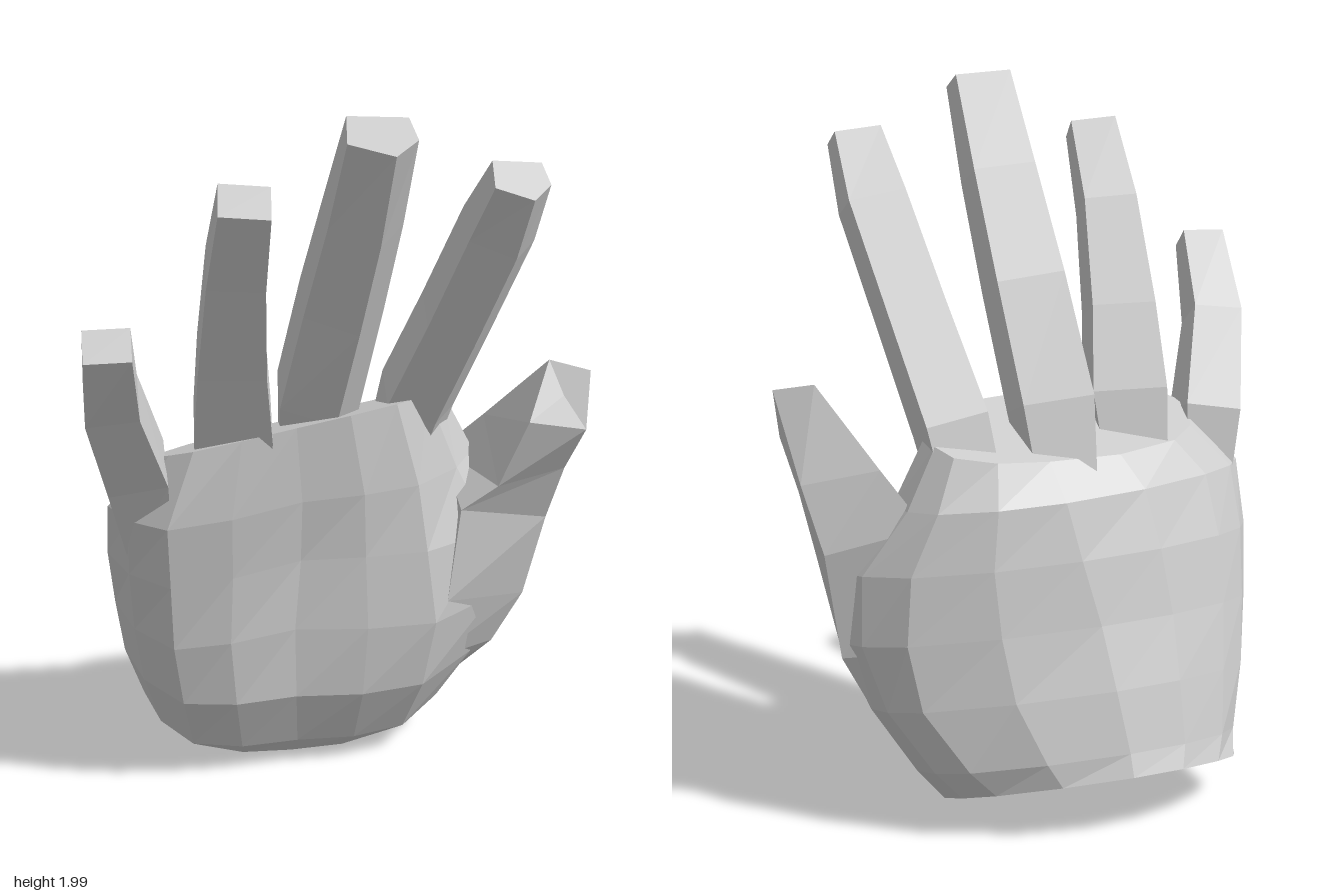
import * as THREE from 'three';

const material = new THREE.MeshStandardMaterial({ color: 0xcccccc, flatShading: true });

// Skin a closed, capped solid over rings of points (counterclockwise from above, bottom first)
function loft(name, rings) {
  const n = rings[0].length, pos = [];
  const tri = (...pts) => pts.forEach(p => pos.push(p.x, p.y, p.z));
  for (let i = 0; i < rings.length - 1; i++) {
    for (let j = 0; j < n; j++) {
      const k = (j + 1) % n;
      const a = rings[i][j], b = rings[i][k], c = rings[i + 1][k], d = rings[i + 1][j];
      tri(a, b, c);
      tri(a, c, d);
    }
  }
  const bottom = rings[0], top = rings[rings.length - 1];
  const mid = r => r.reduce((s, p) => s.add(p), new THREE.Vector3()).divideScalar(n);
  const cb = mid(bottom), ct = mid(top);
  for (let j = 0; j < n; j++) {
    const k = (j + 1) % n;
    tri(cb, bottom[k], bottom[j]);
    tri(ct, top[j], top[k]);
  }
  const geo = new THREE.BufferGeometry();
  geo.setAttribute('position', new THREE.Float32BufferAttribute(pos, 3));
  geo.computeVertexNormals();
  const mesh = new THREE.Mesh(geo, material);
  mesh.name = name;
  return mesh;
}

// Finger sections as side, front fractions: a box, and one with its front edge pulled to a ridge
const BOX = [[-0.5, 0.5], [0.5, 0.5], [0.5, -0.5], [-0.5, -0.5]];
const RIDGED = [[-0.5, 0.25], [0.15, 0.55], [0.5, 0.1], [0.42, -0.5], [-0.45, -0.5]];

// Finger; rows are [x, y, z, width, depth], twist turns it about its axis
function finger(name, section, twist, rows) {
  const c = rows.map(r => new THREE.Vector3(r[0], r[1], r[2]));
  const rings = rows.map(([, , , w, d], i) => {
    const t = c[Math.min(i + 1, c.length - 1)].clone().sub(c[Math.max(i - 1, 0)]).normalize();
    const side = new THREE.Vector3(1, 0, 0).addScaledVector(t, -t.x).normalize();
    const front = side.clone().cross(t);
    side.applyAxisAngle(t, -twist);
    front.applyAxisAngle(t, -twist);
    return section.map(([u, v]) =>
      c[i].clone().addScaledVector(side, u * w).addScaledVector(front, v * d));
  });
  return loft(name, rings);
}

// Palm sections: [height, slope along z, slope along x] and eight x, z pairs
// (little-finger edge, front x3, thumb edge, back x3)
const palmSections = [
  [[-0.005, -0.38, 0], [-0.47, -0.3, -0.36, -0.08, -0.1, -0.02, 0.2, -0.04, 0.36, -0.18, 0.27, -0.35, -0.08, -0.475, -0.36, -0.42]],
  [[0.1, -0.3, 0], [-0.5, -0.2, -0.4, 0.02, -0.1, 0.06, 0.22, 0.06, 0.43, -0.16, 0.34, -0.34, -0.08, -0.45, -0.39, -0.38]],
  [[0.3, -0.25, 0], [-0.56, -0.15, -0.44, 0.1, -0.12, 0.13, 0.25, 0.15, 0.54, -0.1, 0.45, -0.28, -0.06, -0.4, -0.42, -0.32]],
  [[0.5, -0.2, 0], [-0.59, -0.1, -0.47, 0.14, -0.12, 0.12, 0.28, 0.17, 0.61, -0.05, 0.48, -0.25, -0.04, -0.34, -0.45, -0.25]],
  [[0.7, -0.15, 0], [-0.615, -0.04, -0.48, 0.17, -0.1, 0.11, 0.26, 0.14, 0.6, -0.02, 0.46, -0.23, 0, -0.3, -0.46, -0.19]],
  [[0.88, -0.08, 0], [-0.62, 0.03, -0.49, 0.2, -0.1, 0.13, 0.24, 0.11, 0.46, -0.07, 0.38, -0.22, 0.03, -0.26, -0.45, -0.12]],
  [[1.06, 0.35, 0.12], [-0.49, 0.07, -0.41, 0.18, -0.12, 0.15, 0.18, 0.09, 0.36, -0.07, 0.32, -0.18, 0.05, -0.19, -0.37, -0.08]],
];

function palm() {
  const rings = palmSections.map(([[y, sz, sx], xz]) => {
    const pts = [];
    for (let i = 0; i < xz.length; i += 2) pts.push(new THREE.Vector3(xz[i], y + sz * xz[i + 1] + sx * xz[i], xz[i + 1]));
    const curve = new THREE.CatmullRomCurve3(pts, true, 'centripetal');
    return Array.from({ length: 16 }, (_, i) => curve.getPoint(i / 16));
  });
  return loft('palm', rings);
}

// Thumb corners run inner front, outer front, outer back, inner back
function thumb() {
  const rings = [
    [[0.25, 0.14, 0], [0.35, 0.14, -0.05], [0.37, 0.14, -0.14], [0.25, 0.14, -0.2]],
    [[0.3, 0.32, 0.11], [0.5, 0.31, 0.03], [0.53, 0.31, -0.11], [0.35, 0.32, -0.24]],
    [[0.32, 0.52, 0.15], [0.58, 0.47, 0.06], [0.615, 0.48, -0.09], [0.42, 0.52, -0.23]],
    [[0.36, 0.79, 0.13], [0.63, 0.72, 0.09], [0.65, 0.77, -0.07], [0.4, 0.85, -0.18]],
    [[0.46, 0.86, 0.15], [0.66, 0.89, 0.14], [0.69, 0.95, 0], [0.49, 0.99, -0.07]],
    [[0.53, 1.06, 0.19], [0.69, 1.03, 0.21], [0.72, 1.18, 0.15], [0.62, 1.2, 0.09]],
  ];
  return loft('thumb', rings.map(r => r.map(p => new THREE.Vector3(...p))));
}

export function createModel() {
  const hand = new THREE.Group();
  hand.name = 'hand';
  hand.add(
    palm(),
    thumb(),
    finger('indexFinger', RIDGED, 0.1, [
      [0.25, 0.85, -0.12, 0.18, 0.16], [0.28, 1.08, -0.03, 0.2, 0.19], [0.335, 1.36, 0.13, 0.19, 0.18],
      [0.39, 1.64, 0.28, 0.185, 0.17], [0.4, 1.81, 0.4, 0.15, 0.12]]),
    finger('middleFinger', RIDGED, 0.12, [
      [-0.01, 0.85, -0.13, 0.18, 0.16], [-0.01, 1.11, -0.03, 0.23, 0.21], [0.015, 1.42, 0.11, 0.22, 0.21],
      [0.03, 1.7, 0.26, 0.2, 0.19], [0.03, 1.95, 0.41, 0.18, 0.13]]),
    finger('ringFinger', BOX, 0.2, [
      [-0.27, 0.85, -0.02, 0.17, 0.16], [-0.275, 1.1, 0.06, 0.21, 0.19], [-0.295, 1.32, 0.15, 0.18, 0.18],
      [-0.31, 1.6, 0.28, 0.15, 0.16], [-0.315, 1.81, 0.41, 0.13, 0.11]]),
    finger('littleFinger', BOX, 0.12, [
      [-0.51, 0.75, 0.03, 0.12, 0.12], [-0.55, 1.01, 0.1, 0.16, 0.18],
      [-0.63, 1.26, 0.23, 0.14, 0.15], [-0.66, 1.465, 0.385, 0.12, 0.1]]),
  );
  return hand;
}
